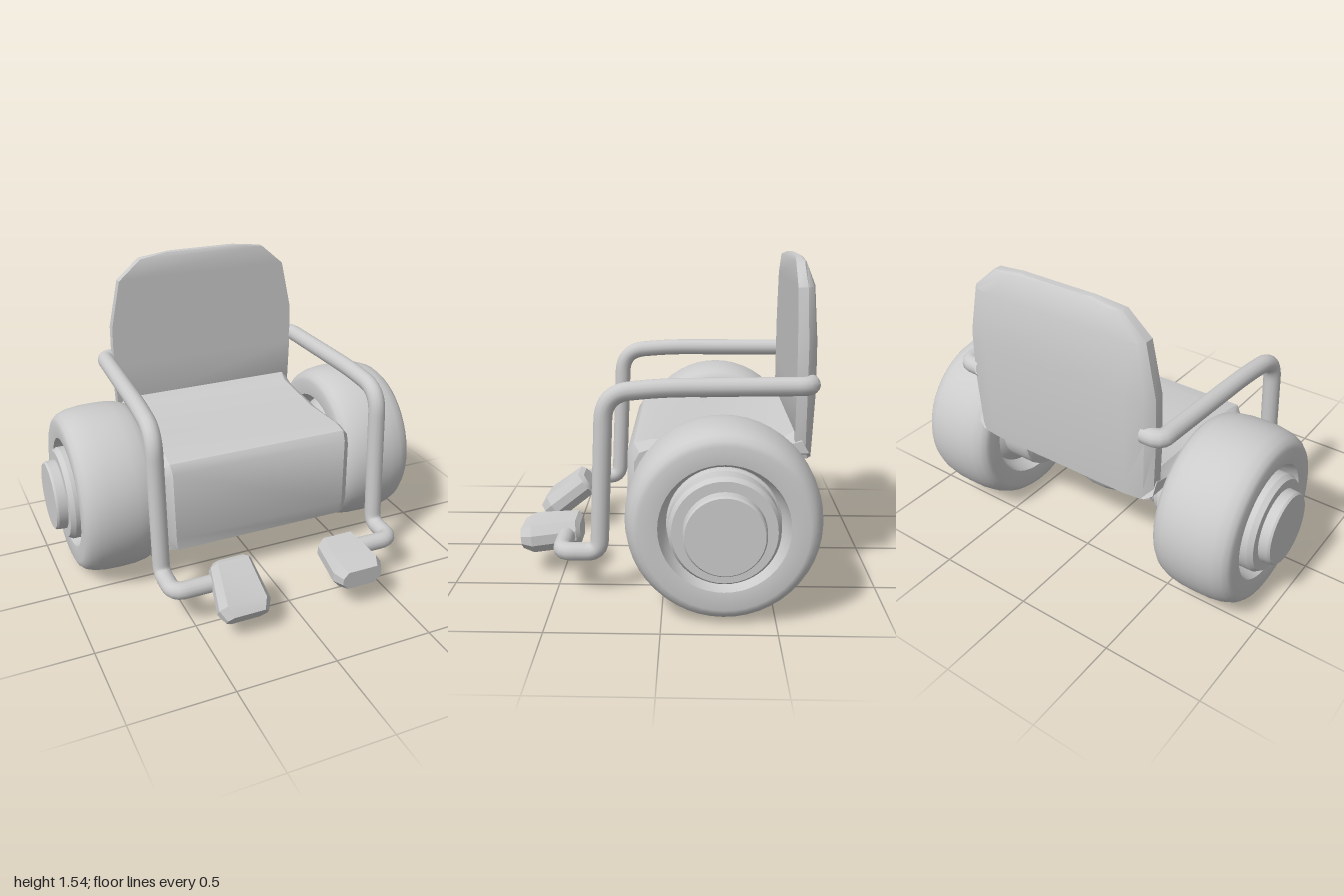
import * as THREE from 'three';
import { mergeVertices, toCreasedNormals } from 'three/addons/utils/BufferGeometryUtils.js';

const material = new THREE.MeshStandardMaterial({ color: 0xcccccc });

function part(name, geometry, crease = 0.6) {
  const mesh = new THREE.Mesh(toCreasedNormals(geometry, crease), material);
  mesh.name = name;
  return mesh;
}

// Skin a list of equal-length closed cross-sections and cap both ends
function loft(rows) {
  const n = rows[0].length, last = rows.length - 1;
  const tris = [];
  const middle = (row) => row.reduce((a, p) => a.add(p), new THREE.Vector3()).divideScalar(n);
  const c0 = middle(rows[0]), c1 = middle(rows[last]);
  for (let j = 0; j < n; j++) {
    const k = (j + 1) % n;
    for (let i = 0; i < last; i++) {
      const a = rows[i][j], b = rows[i][k], c = rows[i + 1][k], d = rows[i + 1][j];
      tris.push([a, b, c], [a, c, d]);
    }
    tris.push([c0, rows[0][k], rows[0][j]], [c1, rows[last][j], rows[last][k]]);
  }
  // Turn the faces outward whichever way the sections run
  const volume = tris.reduce((v, [a, b, c]) => v + a.dot(b.clone().cross(c)), 0);
  const points = tris.flatMap(([a, b, c]) => (volume > 0 ? [a, b, c] : [a, c, b]));
  return mergeVertices(new THREE.BufferGeometry().setFromPoints(points));
}

// Profile of [radius, x] pairs turned about the x axis
function turned(name, profile, crease) {
  const points = profile.map(([r, x]) => new THREE.Vector2(r, x));
  const geometry = new THREE.LatheGeometry(points, 48);
  geometry.rotateZ(-Math.PI / 2);
  return part(name, geometry, crease);
}

// Polyline with rounded corners
function roundedPath(points, radius) {
  const path = new THREE.CurvePath();
  let from = points[0];
  for (let i = 1; i < points.length - 1; i++) {
    const p = points[i];
    const towards = (q) => p.clone().add(q.clone().sub(p).setLength(radius[i - 1]));
    const a = towards(points[i - 1]), b = towards(points[i + 1]);
    path.add(new THREE.LineCurve3(from, a));
    path.add(new THREE.QuadraticBezierCurve3(a, p, b));
    from = b;
  }
  path.add(new THREE.LineCurve3(from, points[points.length - 1]));
  return path;
}

// Backrest: flat front, padded back, clipped top corners
function backrest() {
  // y, half width, front z, edge z, back z
  const rows = [
    [0.64, 0.50, -0.63, -0.66, -0.69], [0.70, 0.515, -0.60, -0.65, -0.695],
    [0.95, 0.525, -0.60, -0.65, -0.705], [1.17, 0.522, -0.60, -0.65, -0.703],
    [1.42, 0.47, -0.60, -0.645, -0.69], [1.525, 0.35, -0.60, -0.64, -0.657],
    [1.545, 0.20, -0.612, -0.635, -0.645],
  ].map(([y, w, front, edge, back]) => [
    [w, front], [w, edge], [w * 0.93, (edge + back * 2) / 3], [w * 0.75, back],
    [-w * 0.75, back], [-w * 0.93, (edge + back * 2) / 3], [-w, edge], [-w, front],
  ].map(([x, z]) => new THREE.Vector3(x, y, z)));
  return part('backrest', loft(rows));
}

// Seat: one bent pad that runs forward and folds down in front
function seat() {
  // outer z, y, inner z, y, half width
  const rows = [
    [-0.61, 0.77, -0.68, 0.645, 0.52], [-0.55, 0.735, -0.55, 0.64, 0.515],
    [-0.2, 0.715, -0.2, 0.635, 0.505], [0.06, 0.72, 0.02, 0.63, 0.515],
    [0.14, 0.705, 0.06, 0.59, 0.52], [0.17, 0.66, 0.075, 0.54, 0.515],
    [0.175, 0.3, 0.09, 0.3, 0.51], [0.16, 0.225, 0.10, 0.22, 0.50],
  ].map(([oz, oy, iz, iy, w]) => {
    const at = (x, t) => new THREE.Vector3(x, oy + (iy - oy) * t, oz + (iz - oz) * t);
    const v = w - 0.04;
    return [at(-v, 0), at(v, 0), at(w, 0.35), at(w, 0.8), at(v, 1), at(-v, 1), at(-w, 0.8), at(-w, 0.35)];
  });
  return part('seat', loft(rows));
}

// Tapered footrest block with chamfered edges
function footrest() {
  const rows = [
    [-0.145, 0.085, 0.045], [-0.125, 0.105, 0.068], [0.09, 0.132, 0.07], [0.145, 0.105, 0.05],
  ].map(([z, w, h]) => [
    [w * 0.75, h], [w, h * 0.35], [w, -h * 0.35], [w * 0.7, -h],
    [-w * 0.7, -h], [-w, -h * 0.35], [-w, h * 0.35], [-w * 0.75, h],
  ].map(([x, y]) => new THREE.Vector3(x, y, z)));
  return part('footrest', loft(rows), 0.5);
}

// Tubular armrest that drops and turns in to carry the footrest
function armrest(side) {
  const points = [
    [0.47, 0.99, -0.665], [0.56, 0.99, -0.665], [0.585, 0.985, 0],
    [0.595, 0.96, 0.265], [0.595, 0.21, 0.295], [0.595, 0.21, 0.475], [0.36, 0.21, 0.475],
  ].map(([x, y, z]) => new THREE.Vector3(x * side, y, z));
  const path = roundedPath(points, [0.045, 0.1, 0.12, 0.06, 0.06]);
  return part('armrest', new THREE.TubeGeometry(path, 110, 0.043, 14), 0.9);
}

function wheel() {
  const group = new THREE.Group();
  group.name = 'wheel';
  // Fat tyre with recessed sidewalls, as a closed ring
  const half = [
    [0.435, 0], [0.433, 0.07], [0.424, 0.13], [0.408, 0.172], [0.388, 0.194], [0.365, 0.203],
    [0.285, 0.195], [0.27, 0.13], [0.25, 0.10],
  ];
  const centre = 0.713;
  const outer = half.map(([r, x]) => [r, centre + x]);
  const inner = half.slice(1).reverse().map(([r, x]) => [r, centre - x]);
  group.add(turned('tyre', [...inner, ...outer, inner[0]], 0.5));
  // Stepped hub with the outer cap and inner drum
  group.add(turned('hub', [
    [0.07, 0.30], [0.12, 0.31], [0.135, 0.32], [0.135, 0.36], [0.165, 0.37], [0.165, 0.40],
    [0.20, 0.41], [0.205, 0.43], [0.205, 0.56], [0.25, 0.60], [0.25, 0.83], [0.24, 0.84],
    [0.24, 0.92], [0.225, 0.945], [0.18, 0.945], [0.177, 0.99], [0.17, 1.0], [0, 1.0],
  ], 0.5));
  return group;
}

export function createModel() {
  const model = new THREE.Group();
  model.name = 'wheelchair';
  model.add(backrest(), seat());

  // Axle with a bulging motor housing
  const axle = new THREE.Group();
  axle.name = 'axle';
  axle.add(
    turned('axleShaft', [[0.08, -0.42], [0.08, 0.42]]),
    turned('motorHousing', [
      [0, -0.21], [0.11, -0.21], [0.13, -0.195], [0.155, -0.12], [0.17, -0.04],
      [0.17, 0.04], [0.155, 0.12], [0.13, 0.195], [0.11, 0.21], [0, 0.21],
    ]),
  );
  axle.position.set(0, 0.44, -0.27);
  model.add(axle);

  for (const side of [1, -1]) {
    const w = wheel();
    w.position.set(0, 0.44, -0.27);
    if (side < 0) w.rotation.y = Math.PI;
    const foot = footrest();
    foot.position.set(0.3 * side, 0.2, 0.553);
    foot.rotation.x = side > 0 ? 0.1 : 0.65;
    model.add(w, armrest(side), foot);
  }
  return model;
}
